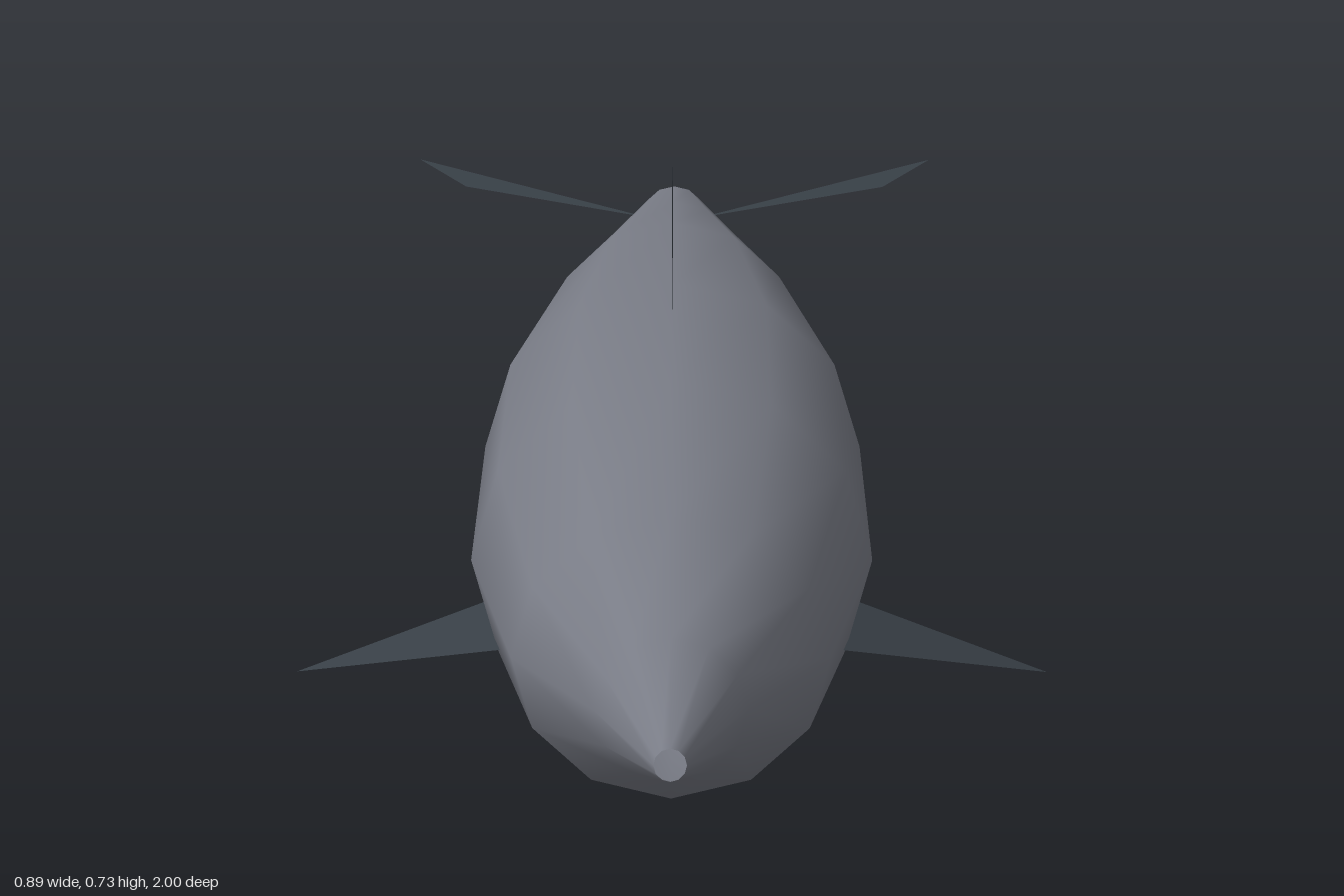
import * as THREE from 'three';
import { mergeVertices } from 'three/addons/utils/BufferGeometryUtils.js';

const skin = new THREE.MeshStandardMaterial({ name: 'grey skin', color: 0x797c86, side: THREE.DoubleSide });
const finColor = new THREE.MeshStandardMaterial({ name: 'dark fin', color: 0x384047, side: THREE.DoubleSide });

// Body cross-sections from nose to tail: z, bottom y, top y, half width
const RINGS = [
  [1.0, 0.198, 0.24, 0.02],
  [0.81, 0.13, 0.31, 0.092],
  [0.635, 0.045, 0.4, 0.19],
  [0.315, 0.003, 0.457, 0.238],
  [-0.05, 0.035, 0.448, 0.222],
  [-0.42, 0.118, 0.39, 0.145],
  [-0.65, 0.182, 0.333, 0.08],
  [-0.815, 0.228, 0.293, 0.035],
];
const SIDES = 12;

// Open tube whose rows are moved onto the elliptical cross-sections
function bodyGeometry() {
  const geo = new THREE.CylinderGeometry(1, 1, 1, SIDES, RINGS.length - 1, true);
  const pos = geo.attributes.position;
  for (let i = 0; i < pos.count; i++) {
    const [z, low, high, halfWidth] = RINGS[Math.floor(i / (SIDES + 1))];
    const a = ((i % (SIDES + 1)) / SIDES) * Math.PI * 2;
    pos.setXYZ(i, halfWidth * Math.sin(a), (low + high) / 2 - ((high - low) / 2) * Math.cos(a), z);
  }
  // Weld the seam so the shading runs smoothly all round
  geo.deleteAttribute('uv');
  geo.deleteAttribute('normal');
  const welded = mergeVertices(geo);
  welded.computeVertexNormals();
  return welded;
}

// Flat triangular fin; side = -1 mirrors it in x and keeps the corner order
function fin(name, corners, side = 1) {
  const pts = corners.map(([x, y, z]) => new THREE.Vector3(x * side, y, z));
  if (side < 0) pts.reverse();
  const geo = new THREE.BufferGeometry().setFromPoints(pts);
  geo.computeVertexNormals();
  const mesh = new THREE.Mesh(geo, finColor);
  mesh.name = name;
  return mesh;
}

export function createModel() {
  const model = new THREE.Group();
  model.name = 'dolphin';

  const body = new THREE.Mesh(bodyGeometry(), skin);
  body.name = 'body';
  model.add(body);

  model.add(fin('dorsalFin', [[0, 0.455, 0.165], [0, 0.427, -0.265], [0, 0.73, -0.015]]));

  for (const [label, side] of [['left', 1], ['right', -1]]) {
    model.add(fin(label + 'Flipper', [[0.2, 0.137, 0.37], [0.445, 0.035, 0.165], [0.2, 0.132, 0.165]], side));
    model.add(fin(label + 'TailFluke', [[0.03, 0.26, -0.797], [0.247, 0.26, -0.905], [0.302, 0.26, -1.0]], side));
  }
  return model;
}
